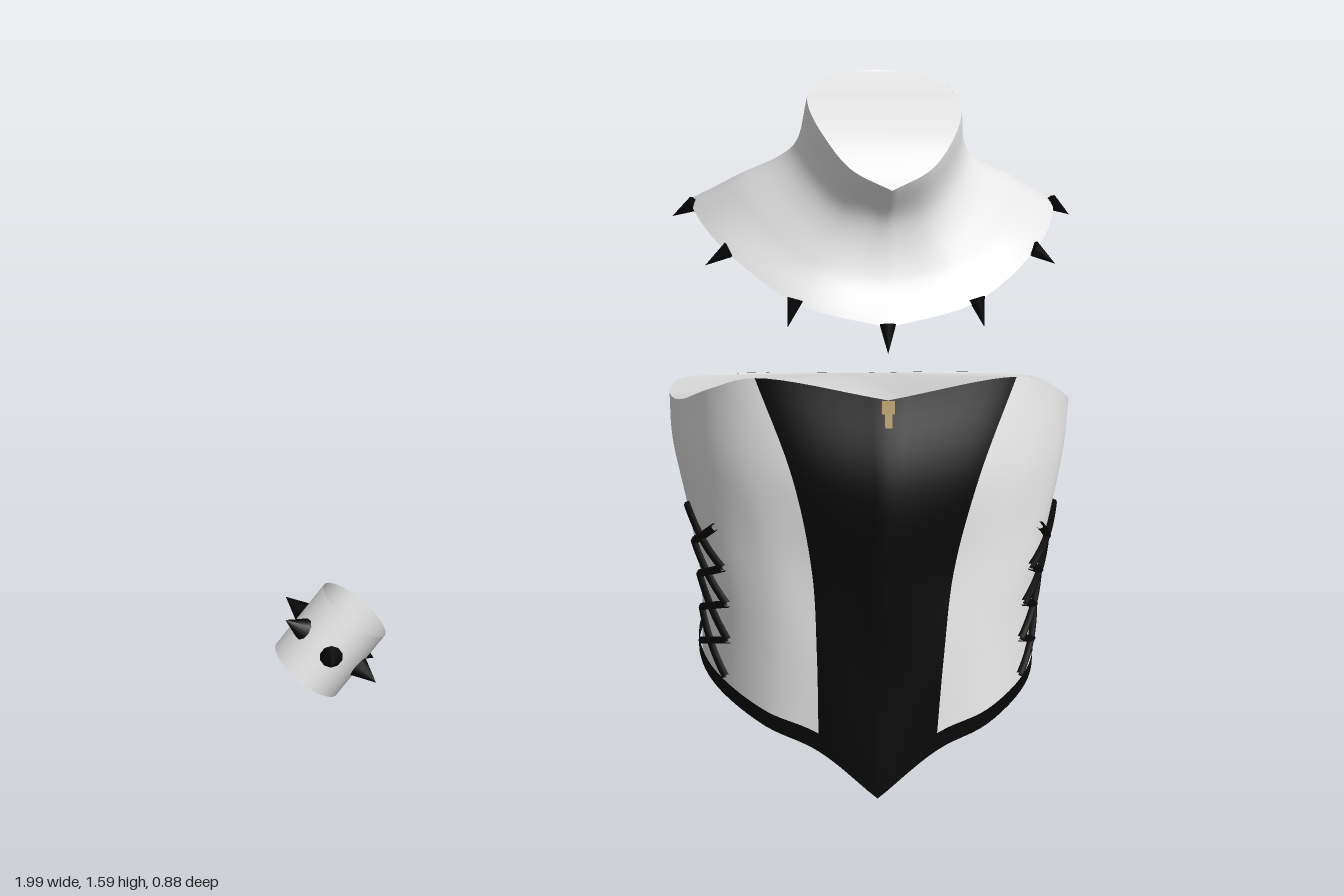
import * as THREE from 'three';

const V = (x, y, z) => new THREE.Vector3(x, y, z);
const DS = THREE.DoubleSide;
const fabric = new THREE.MeshStandardMaterial({ color: 0xe7e7e7, side: DS });
fabric.name = 'pale fabric';
const black = new THREE.MeshStandardMaterial({ color: 0x060606, side: DS });
black.name = 'black trim';
const gold = new THREE.MeshStandardMaterial({ color: 0xa88c50 });
gold.name = 'gold metal';

// Mirrored skin through half cross-sections (front centre to back centre), bottom row first
function makeSkin(rows) {
  const n = rows[0].length - 1;
  const curves = rows.map(r => new THREE.CatmullRomCurve3(r.map(p => V(...p))));
  const point = (u, v) => {
    const t = Math.min(Math.abs(u) / n, 1);
    const p = new THREE.CatmullRomCurve3(curves.map(c => c.getPoint(t))).getPoint(Math.min(Math.max(v, 0), 1));
    if (u < 0) p.x *= -1;
    return p;
  };
  const normal = (u, v) => {
    const e = 0.02;
    const du = point(Math.min(u + e, n), v).sub(point(Math.max(u - e, -n), v));
    const dv = point(u, v + e).sub(point(u, v - e));
    return du.cross(dv).normalize();
  };
  const lift = (u, v, off) => point(u, v).addScaledVector(normal(u, v), off);
  return { n, point, normal, lift };
}

function geometry(pos, idx, nor) {
  const g = new THREE.BufferGeometry();
  g.setAttribute('position', new THREE.Float32BufferAttribute(pos, 3));
  g.setIndex(idx);
  if (nor) g.setAttribute('normal', new THREE.Float32BufferAttribute(nor, 3));
  else g.computeVertexNormals();
  return g;
}

// Rectangular piece of a skin, optionally lifted off it
function patch(skin, u0, u1, v0, v1, off, nu, nv) {
  const pos = [], nor = [], idx = [];
  for (let j = 0; j <= nv; j++) for (let i = 0; i <= nu; i++) {
    const u = u0 + (u1 - u0) * i / nu, v = v0 + (v1 - v0) * j / nv;
    const nrm = skin.normal(u, v);
    pos.push(...skin.point(u, v).addScaledVector(nrm, off));
    nor.push(...nrm);
    if (i < nu && j < nv) {
      const a = j * (nu + 1) + i, d = a + nu + 1;
      idx.push(a, a + 1, d + 1, a, d + 1, d);
    }
  }
  return geometry(pos, idx, nor);
}

// Closing surface spanned from side to side across the top edge
function spanCap(skin, k = 48) {
  const pos = [], idx = [];
  for (let i = 0; i <= k; i++) {
    const p = skin.point(skin.n * i / k, 1);
    pos.push(-p.x, p.y, p.z, p.x, p.y, p.z);
    if (i < k) {
      const a = 2 * i;
      idx.push(a + 1, a + 3, a + 2, a + 1, a + 2, a);
    }
  }
  return geometry(pos, idx);
}

// Closing surface fanned out from the back centre of the top (v = 1) or bottom (v = 0) edge
function fanCap(skin, v, k = 80) {
  const pos = [...skin.point(skin.n, v)], idx = [];
  for (let i = 0; i <= k; i++) {
    pos.push(...skin.point(skin.n * (2 * i / k - 1), v));
    if (i > 0 && i < k - 1) idx.push(0, i + 2 - v, i + 1 + v);
  }
  return geometry(pos, idx);
}

function add(group, name, geo, mat) {
  const m = new THREE.Mesh(geo, mat);
  m.name = name;
  group.add(m);
  return m;
}

function addSpike(group, base, dir, r, len, lift) {
  const d = dir.clone().normalize();
  const s = add(group, 'spike', new THREE.ConeGeometry(r, len, 10), black);
  s.position.copy(base).addScaledVector(d, len * lift);
  s.quaternion.setFromUnitVectors(V(0, 1, 0), d);
}

// Stands a flat part on a skin, facing outward
function seat(mesh, skin, u, v, off) {
  mesh.position.copy(skin.lift(u, v, off));
  mesh.lookAt(mesh.position.clone().add(skin.normal(u, v)));
}

function makeCorset() {
  const g = new THREE.Group();
  g.name = 'corset';
  const skin = makeSkin([
    [[0, 0.005, 0.43], [0.14, 0.113, 0.387], [0.262, 0.15, 0.335], [0.372, 0.185, 0.212], [0.408, 0.2, 0.08],
      [0.39, 0.21, -0.05], [0.34, 0.215, -0.142], [0.25, 0.22, -0.195], [0, 0.22, -0.22]],
    [[0, 0.3, 0.383], [0.15, 0.36, 0.355], [0.258, 0.36, 0.312], [0.367, 0.38, 0.203], [0.41, 0.38, 0.06],
      [0.4, 0.37, -0.08], [0.35, 0.36, -0.185], [0.25, 0.36, -0.24], [0, 0.36, -0.265]],
    [[0, 0.52, 0.364], [0.165, 0.56, 0.322], [0.275, 0.56, 0.28], [0.39, 0.56, 0.175], [0.437, 0.55, 0.03],
      [0.435, 0.53, -0.12], [0.377, 0.5, -0.25], [0.25, 0.49, -0.3], [0, 0.49, -0.315]],
    [[0, 0.78, 0.333], [0.215, 0.79, 0.287], [0.347, 0.78, 0.215], [0.438, 0.76, 0.1], [0.475, 0.72, -0.05],
      [0.475, 0.67, -0.2], [0.42, 0.635, -0.32], [0.255, 0.62, -0.365], [0, 0.62, -0.375]],
    [[0, 0.97, 0.257], [0.3, 1, 0.197], [0.398, 0.947, 0.135], [0.46, 0.875, 0.035], [0.484, 0.82, -0.1],
      [0.485, 0.785, -0.23], [0.44, 0.75, -0.375], [0.255, 0.745, -0.41], [0, 0.74, -0.415]],
  ]);
  add(g, 'frontPanel', patch(skin, -1, 1, 0, 1, 0, 16, 32), black);
  add(g, 'leftBody', patch(skin, 1, 8, 0, 1, 0, 48, 32), fabric);
  add(g, 'rightBody', patch(skin, -8, -1, 0, 1, 0, 48, 32), fabric);
  add(g, 'topSurface', fanCap(skin, 1), fabric);
  add(g, 'bottomSurface', fanCap(skin, 0), fabric);
  add(g, 'hemTrim', patch(skin, -8, 8, 0, 0.047, 0.008, 96, 2), black);

  const frame = new THREE.Shape([[-0.043, -0.027], [0.043, -0.027], [0.043, 0.027], [-0.043, 0.027]].map(p => new THREE.Vector2(...p)));
  frame.holes.push(new THREE.Path([[-0.035, -0.019], [-0.035, 0.019], [0.035, 0.019], [0.035, -0.019]].map(p => new THREE.Vector2(...p))));

  for (const s of [1, -1]) {
    // back straps, seam, and upper back edging
    const strip = (name, a, b, v0, v1, off, nu, nv) =>
      add(g, name, patch(skin, Math.min(s * a, s * b), Math.max(s * a, s * b), v0, v1, off, nu, nv), black);
    strip('backStrap', 6.75, 7.14, 0, 1, 0.0095, 4, 28);
    strip('backSeam', 7.97, 8, 0, 0.97, 0.003, 1, 28);
    strip('backEdging', 7, 8, 0.98, 1, 0.004, 8, 1);

    // strap buckle
    const buckle = add(g, 'buckle', new THREE.ExtrudeGeometry(frame, { depth: 0.009, bevelEnabled: false }), gold);
    seat(buckle, skin, s * 6.95, 0.48, 0.009);

    // crossed side laces
    const u = [2.8, 3.85], v0 = 0.06, dv = 0.125;
    for (let k = 0; k < 4; k++) for (const flip of [0, 1]) {
      const pts = [];
      for (let i = 0; i <= 6; i++) {
        const t = i / 6;
        const uu = THREE.MathUtils.lerp(u[flip], u[1 - flip], t);
        pts.push(skin.lift(s * uu, v0 + dv * (k + t), 0.005));
      }
      add(g, 'sideLace', new THREE.TubeGeometry(new THREE.CatmullRomCurve3(pts), 8, 0.01, 6), black);
    }
  }
  // zip pull
  seat(add(g, 'zipPull', new THREE.BoxGeometry(0.03, 0.03, 0.009), gold), skin, 0, 0.98, 0.004);
  seat(add(g, 'zipTab', new THREE.BoxGeometry(0.016, 0.035, 0.009), gold), skin, 0, 0.943, 0.006);
  g.position.x = 0.5;
  return g;
}

function makeCollar() {
  const g = new THREE.Group();
  g.name = 'collar';
  const skin = makeSkin([
    [[0, 1.12, 0.19], [0.2, 1.158, 0.14], [0.36, 1.235, 0], [0.425, 1.272, -0.15], [0.433, 1.276, -0.26],
      [0.35, 1.24, -0.395], [0.18, 1.205, -0.415], [0, 1.2, -0.415]],
    [[0, 1.21, 0.115], [0.16, 1.24, 0.09], [0.27, 1.3, 0], [0.33, 1.345, -0.12], [0.33, 1.35, -0.21],
      [0.25, 1.31, -0.315], [0.13, 1.29, -0.345], [0, 1.29, -0.345]],
    [[0, 1.33, 0.09], [0.1, 1.35, 0.07], [0.165, 1.4, 0.01], [0.203, 1.44, -0.08], [0.195, 1.445, -0.16],
      [0.145, 1.43, -0.24], [0.075, 1.42, -0.275], [0, 1.42, -0.28]],
    [[0, 1.43, 0.145], [0.09, 1.47, 0.115], [0.15, 1.53, 0.045], [0.175, 1.565, -0.06], [0.165, 1.575, -0.15],
      [0.125, 1.585, -0.22], [0.065, 1.59, -0.25], [0, 1.595, -0.258]],
  ]);
  add(g, 'collarBody', patch(skin, -7, 7, 0, 1, 0, 84, 28), fabric);
  add(g, 'collarTop', spanCap(skin), fabric);
  add(g, 'collarUnderside', fanCap(skin, 0), fabric);
  // spikes around the lower edge, those at front and back hanging more steeply
  for (const u of [0, 1.05, -1.05, 2, -2, 3.5, -3.5, 5.55, -5.55, 7]) {
    const base = skin.point(u, 0);
    const dir = base.clone().sub(skin.point(u, 0.12)).normalize();
    if (Math.abs(u) > 5 || Math.abs(u) < 1.5) dir.y -= 0.6;
    addSpike(g, base, dir, 0.019, 0.068, 0.38);
  }
  g.position.x = 0.5;
  return g;
}

function makeBracelet() {
  const g = new THREE.Group();
  g.name = 'bracelet';
  const rx = 0.1, rz = 0.126;
  // open oval band
  const band = new THREE.CylinderGeometry(1, 1, 0.2, 48, 1, true);
  band.scale(rx, 1, rz);
  add(g, 'band', band, fabric);
  for (let i = 0; i < 6; i++) {
    const a = i * Math.PI / 3;
    addSpike(g, V(Math.sin(a) * rx, 0, Math.cos(a) * rz), V(Math.sin(a) / rx, 0, Math.cos(a) / rz), 0.029, 0.062, 0.5);
  }
  const y = V(0.13, 0.15, -0.05).normalize();
  const x = y.clone().cross(V(0, 0, 1)).normalize();
  g.quaternion.setFromRotationMatrix(new THREE.Matrix4().makeBasis(x, y, x.clone().cross(y)));
  g.position.set(-0.863, 0.152, -0.067);
  return g;
}

export function createModel() {
  const model = new THREE.Group();
  model.name = 'outfit';
  model.add(makeCorset(), makeCollar(), makeBracelet());
  return model;
}
